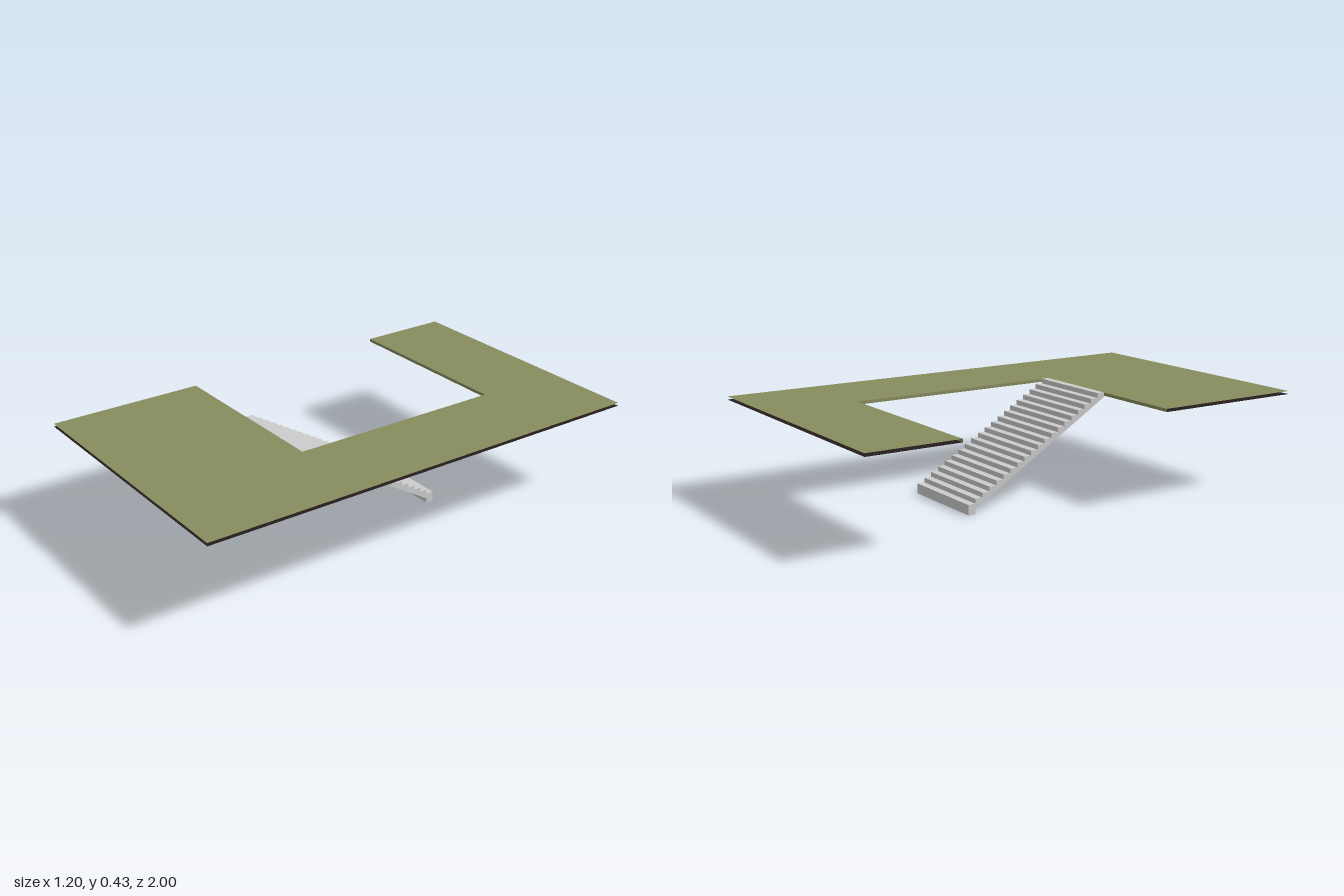
import * as THREE from 'three';

const TOP = 0.424, BOTTOM = 0.411;
const INNER_X = 0.206, FRONT_Z = 0.335, BACK_Z = -0.607;

export function createModel() {
  const model = new THREE.Group();
  const side = THREE.DoubleSide;
  const grey = new THREE.MeshStandardMaterial({ color: 0xcccccc });
  const green = new THREE.MeshStandardMaterial({ color: 0x888c5e, side });
  const dark = new THREE.MeshStandardMaterial({ color: 0x251c1c, side });

  const add = (name, geometry, material, parent = model) => {
    const mesh = new THREE.Mesh(geometry, material);
    mesh.name = name;
    parent.add(mesh);
    return mesh;
  };

  // C-shaped floor slab: two sheets joined only around the stairwell
  const outline = [
    [-0.6, 1], [0.6, 1], [0.6, -1], [-0.6, -1],
    [-0.6, BACK_Z], [INNER_X, BACK_Z], [INNER_X, FRONT_Z], [-0.6, FRONT_Z],
  ];
  const sheet = (flip) => new THREE.ShapeGeometry(
    new THREE.Shape(outline.map(([x, z]) => new THREE.Vector2(x, flip * z)))
  ).rotateX(flip * Math.PI / 2);

  const floor = new THREE.Group();
  floor.name = 'floor';
  model.add(floor);
  add('floorTop', sheet(-1), green, floor).position.y = TOP;
  add('floorUnderside', sheet(1), dark, floor).position.y = BOTTOM;

  // Thin edge strips lining the three sides of the stairwell
  const edge = (name, length, x, z, turn) => {
    const strip = add(name, new THREE.PlaneGeometry(length, TOP - BOTTOM), green, floor);
    strip.position.set(x, (TOP + BOTTOM) / 2, z);
    strip.rotation.y = turn;
  };
  const midX = (INNER_X - 0.6) / 2;
  edge('wellEdgeFront', INNER_X + 0.6, midX, FRONT_Z, Math.PI);
  edge('wellEdgeBack', INNER_X + 0.6, midX, BACK_Z, 0);
  edge('wellEdgeSide', FRONT_Z - BACK_Z, INNER_X, (FRONT_Z + BACK_Z) / 2, -Math.PI / 2);

  // Straight flight: stepped profile with a sloped underside, extruded across x
  const steps = 20, run = 0.0335, firstRise = 0.043;
  const rise = (TOP + 0.001 - firstRise) / (steps - 1);
  const start = 0.335; // foot of the stairs lies towards the back
  const profile = new THREE.Shape();
  profile.moveTo(start, 0);
  for (let i = 0; i < steps; i++) {
    const y = firstRise + i * rise;
    profile.lineTo(start - i * run, y);
    profile.lineTo(start - (i + 1) * run, y);
  }
  profile.lineTo(start - steps * run, TOP - 0.019);
  profile.lineTo(start - run, 0.021);
  profile.lineTo(start - run, 0);
  profile.closePath();
  const flight = new THREE.ExtrudeGeometry(profile, { depth: 0.402, bevelEnabled: false });
  flight.rotateY(Math.PI / 2).translate(-0.197, 0, 0);
  add('stairs', flight, grey);

  return model;
}
